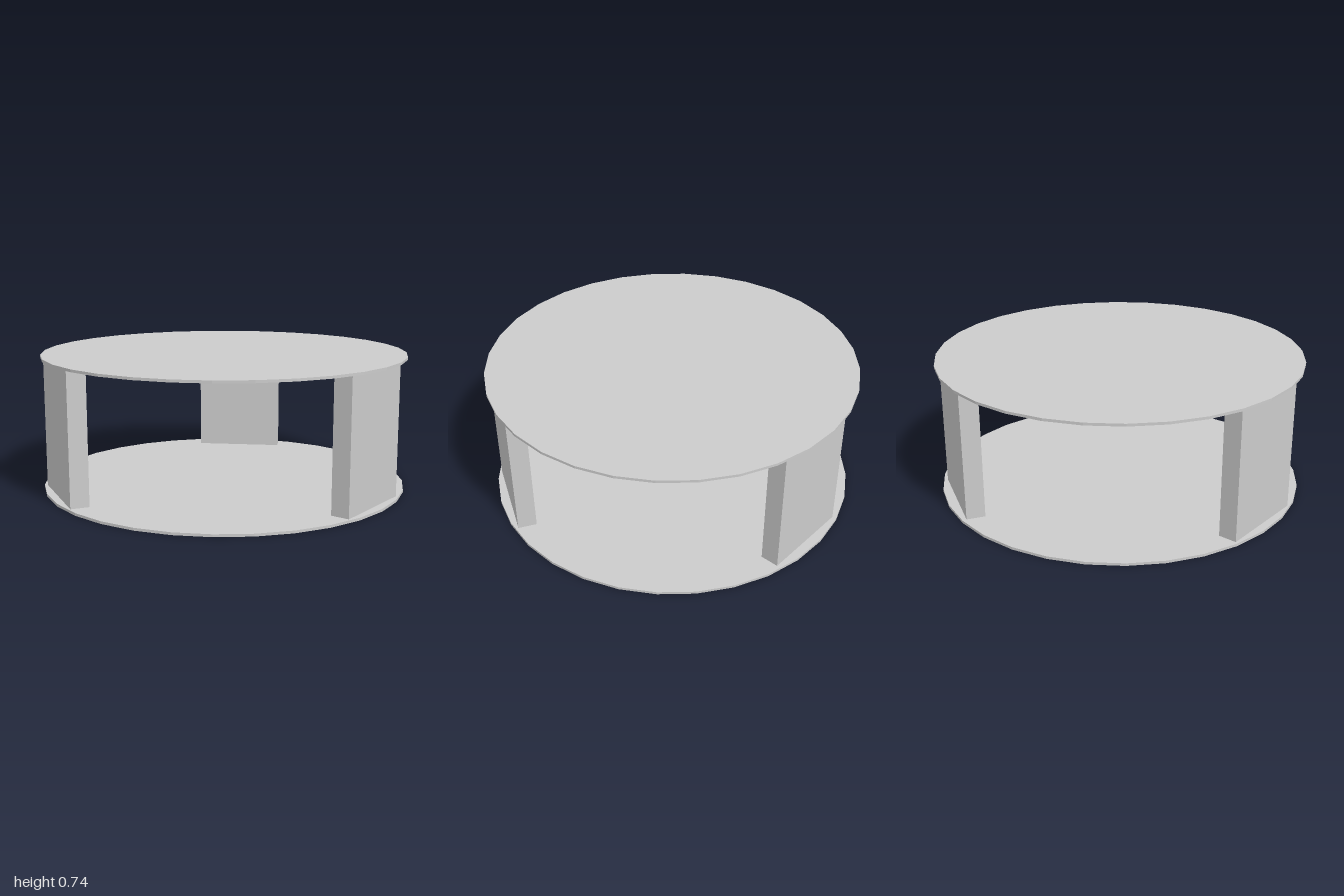
import * as THREE from 'three';

export function createModel() {
  const group = new THREE.Group();
  const material = new THREE.MeshStandardMaterial({ color: 0xcccccc, flatShading: true });
  const add = (name, geometry, x, y, z, turn = 0) => {
    const mesh = new THREE.Mesh(geometry, material);
    mesh.name = name;
    mesh.position.set(x, y, z);
    mesh.rotation.y = turn;
    group.add(mesh);
  };

  // Thin round plates
  const thickness = 0.014;
  const height = 0.738;
  const plate = new THREE.CylinderGeometry(1, 1, thickness, 32);
  add('bottomPlate', plate, 0, thickness / 2, 0);
  add('topPlate', plate, 0, height - thickness / 2, 0);

  // Three upright walls around the rim; the back one sits slightly lower
  const wall = new THREE.BoxGeometry(0.1, 0.716, 0.5);
  const walls = [
    ['leftWall', 0, 0.368, 0.003],
    ['backWall', 1, 0.359, 0.007],
    ['frontWall', 2, 0.368, 0.003],
  ];
  for (const [name, i, y, shift] of walls) {
    const a = (i * Math.PI * 2) / 3;
    add(name, wall, 0.9 * Math.cos(a), y, -0.9 * Math.sin(a) + shift, a);
  }
  return group;
}
